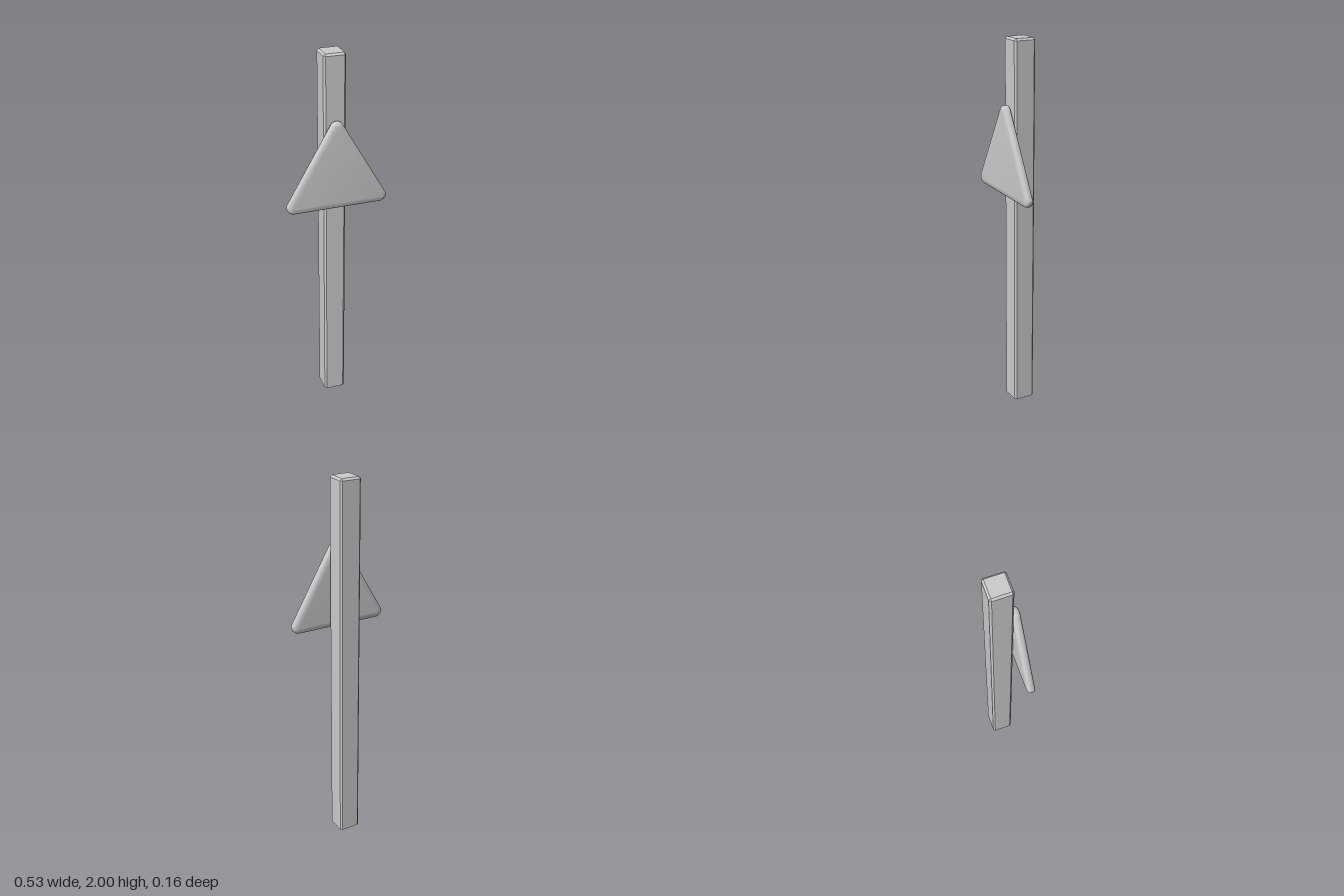
import * as THREE from 'three';
import { toCreasedNormals } from 'three/addons/utils/BufferGeometryUtils.js';

const material = new THREE.MeshStandardMaterial({ color: 0xcccccc });

// Square post with chamfered vertical edges and a chamfered top
function createPost() {
  const c = 0.01, a = 0.058 - c, shape = new THREE.Shape();
  shape.setFromPoints([
    [-a, -0.058], [a, -0.058], [0.058, -a], [0.058, a],
    [a, 0.058], [-a, 0.058], [-0.058, a], [-0.058, -a],
  ].map(([x, y]) => new THREE.Vector2(x, y)));
  const geometry = new THREE.ExtrudeGeometry(shape, { depth: 2, steps: 2, bevelEnabled: false });
  geometry.rotateX(-Math.PI / 2);
  // Slide the middle ring up to the chamfer line and draw the top ring in
  const p = geometry.attributes.position;
  for (let i = 0; i < p.count; i++) {
    const y = p.getY(i);
    if (y > 1.5) {
      p.setX(i, THREE.MathUtils.clamp(p.getX(i), -a, a));
      p.setZ(i, THREE.MathUtils.clamp(p.getZ(i), -a, a));
    } else if (y > 0.5) p.setY(i, 2 - c);
  }
  const mesh = new THREE.Mesh(toCreasedNormals(geometry, 0.3), material);
  mesh.name = 'post';
  mesh.position.z = -0.025;
  return mesh;
}

// Rounded triangular plate with a soft rim
function createPlate() {
  const half = 0.23, bottom = 1.233, r = 0.005, shape = new THREE.Shape();
  const third = Math.PI / 3;
  const corners = [[-half, bottom], [half, bottom], [0, bottom + half * Math.sqrt(3)]];
  corners.forEach(([x, y], i) => {
    const start = Math.PI + third / 2 + i * 2 * third - third * 0.5;
    shape.absarc(x, y, r, start - third / 2, start + third * 1.5, false);
  });
  const geometry = new THREE.ExtrudeGeometry(shape, {
    depth: 0.014, bevelSize: 0.03, bevelThickness: 0.015, bevelSegments: 5, curveSegments: 8,
  });
  geometry.translate(0, 0, 0.051);
  const mesh = new THREE.Mesh(toCreasedNormals(geometry, 0.7), material);
  mesh.name = 'triangularPlate';
  return mesh;
}

export function createModel() {
  const group = new THREE.Group();
  group.name = 'signPost';
  group.add(createPost(), createPlate());
  return group;
}
